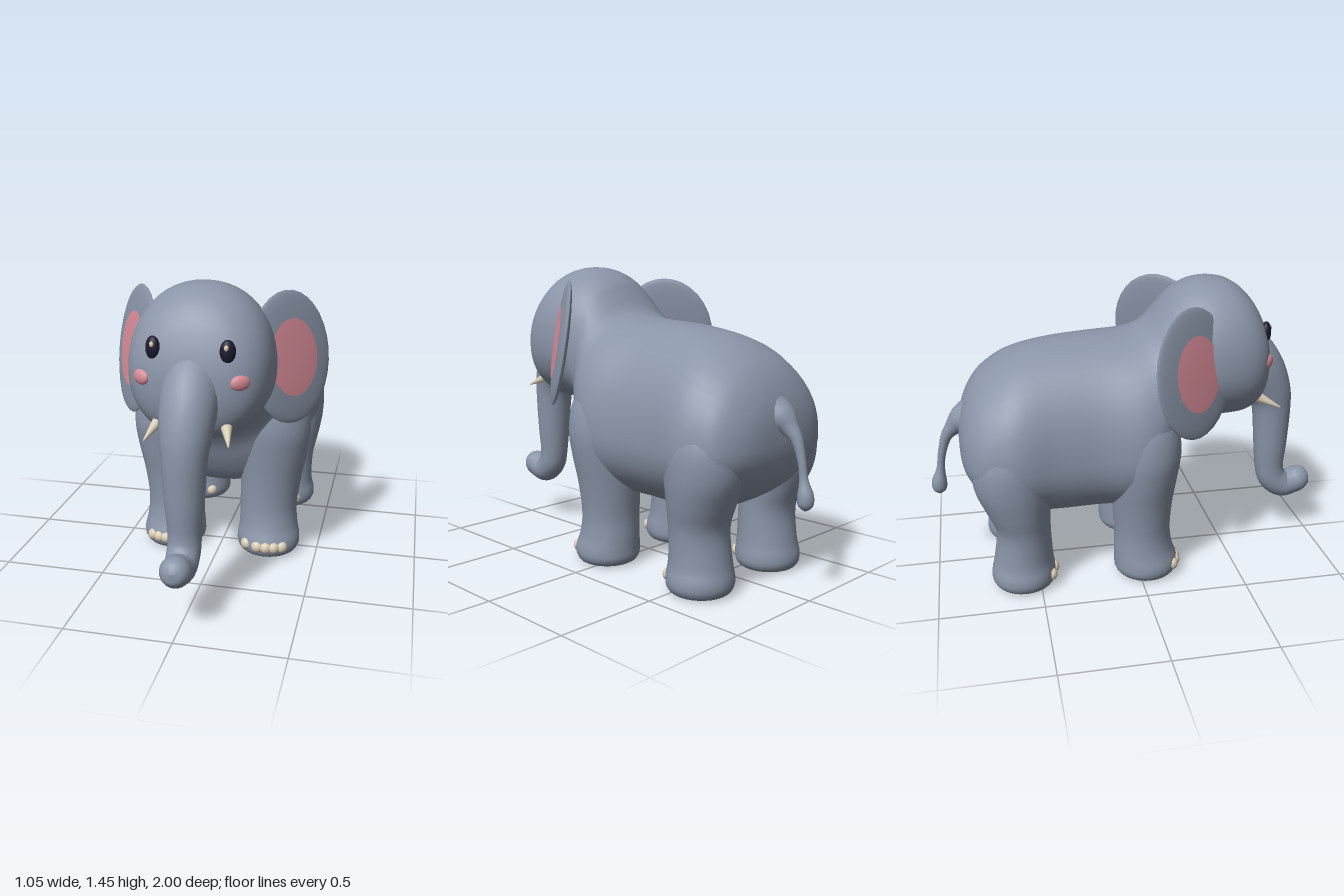
import * as THREE from 'three';

const mat = (name, color) => Object.assign(new THREE.MeshStandardMaterial({ color }), { name });
const V = (x, y, z) => new THREE.Vector3(x, y, z);

// Catmull-Rom subdivision of rows of numbers
function smooth(rows, steps) {
  const out = [];
  const at = (i) => rows[Math.min(Math.max(i, 0), rows.length - 1)];
  for (let i = 0; i < rows.length - 1; i++) {
    for (let s = 0; s < steps; s++) {
      const t = s / steps;
      out.push(rows[i].map((b, k) => {
        const a = at(i - 1)[k], c = at(i + 1)[k], d = at(i + 2)[k];
        return b + 0.5 * t * (c - a + t * (2 * a - 5 * b + 4 * c - d + t * (3 * (b - c) + d - a)));
      }));
    }
  }
  out.push(rows[rows.length - 1]);
  return out;
}

// Skin over closed rings; ringPoint(row, angle, index) gives one vertex
function loft(rows, sides, ringPoint) {
  const pos = [], idx = [];
  rows.forEach((row, i) => {
    for (let j = 0; j < sides; j++) {
      pos.push(...ringPoint(row, (j / sides) * Math.PI * 2, i).toArray());
      if (i === rows.length - 1) continue;
      const a = i * sides + j, b = i * sides + (j + 1) % sides;
      idx.push(a, b, a + sides, b, b + sides, a + sides);
    }
  });
  const g = new THREE.BufferGeometry();
  g.setAttribute('position', new THREE.Float32BufferAttribute(pos, 3));
  g.setIndex(idx);
  g.computeVertexNormals();
  return g;
}

// Tapering round limb in the x = 0 plane, rows [y, z, radius]
function limb(points, sides) {
  const rows = smooth(points, 5);
  return loft(rows, sides, ([y, z, r], t, i) => {
    const p = rows[Math.max(i - 1, 0)], q = rows[Math.min(i + 1, rows.length - 1)];
    const len = Math.hypot(q[0] - p[0], q[1] - p[1]) || 1;
    const ty = (q[0] - p[0]) / len, tz = (q[1] - p[1]) / len;
    const s = Math.sin(t) * r, rad = Math.max(r, 0.0005);
    return V(Math.cos(t) * rad, y + tz * s, z - ty * s);
  });
}

// Upright leg, rows [y, centre x, centre z, radius x, radius z]
const leg = (rows) => loft(smooth(rows, 4), 28, ([y, x, z, rx, rz], t) =>
  V(x + rx * Math.sin(t), Math.max(y, 0), z + rz * Math.cos(t)));

// Ellipsoid turned about y
const blob = (x, y, z, rx, ry, rz, yaw = 0) =>
  new THREE.SphereGeometry(1, 18, 12).scale(rx, ry, rz).rotateY(yaw).translate(x, y, z);

export function createModel() {
  const skin = mat('grey skin', 0x8a95a8);
  const pink = mat('pink', 0xd98d99);
  const ivory = mat('ivory', 0xd8cdb6);
  const dark = mat('dark eye', 0x1b1a30);

  const model = new THREE.Group();
  model.name = 'elephant';
  const add = (name, geometry, material) => {
    const m = new THREE.Mesh(geometry, material);
    m.name = name;
    model.add(m);
  };
  // Adds the left part and its mirror image
  const pair = (name, geometry, material) => {
    add('left ' + name, geometry, material);
    const g = geometry.clone().scale(-1, 1, 1);
    g.setIndex(Array.from(g.index.array).reverse());
    add('right ' + name, g, material);
  };

  // Rump, barrel, neck and head in one skin, rows [z, top, widest y, bottom, half width]
  const body = smooth([
    [-0.85, 0.71, 0.70, 0.69, 0.002],
    [-0.843, 0.80, 0.69, 0.62, 0.17],
    [-0.82, 0.89, 0.68, 0.55, 0.28],
    [-0.77, 0.985, 0.67, 0.48, 0.37],
    [-0.70, 1.06, 0.66, 0.42, 0.415],
    [-0.58, 1.13, 0.66, 0.36, 0.445],
    [-0.40, 1.175, 0.67, 0.33, 0.412],
    [-0.20, 1.195, 0.68, 0.33, 0.405],
    [-0.02, 1.205, 0.69, 0.34, 0.44],
    [0.08, 1.24, 0.73, 0.39, 0.42],
    [0.15, 1.32, 0.83, 0.50, 0.37],
    [0.20, 1.38, 0.95, 0.61, 0.328],
    [0.28, 1.43, 1.05, 0.715, 0.32],
    [0.38, 1.45, 1.07, 0.755, 0.33],
    [0.48, 1.435, 1.07, 0.76, 0.326],
    [0.56, 1.385, 1.06, 0.77, 0.305],
    [0.62, 1.31, 1.055, 0.80, 0.265],
    [0.66, 1.22, 1.05, 0.85, 0.205],
    [0.685, 1.13, 1.04, 0.93, 0.12],
    [0.695, 1.04, 1.03, 1.02, 0.002],
  ], 4);
  const soft = (v) => Math.sign(v) * Math.abs(v) ** 0.93;
  add('body and head', loft(body, 48, ([z, top, mid, bottom, w], t) => {
    const s = soft(Math.sin(t));
    return V(w * soft(Math.cos(t)), mid + s * (s > 0 ? top - mid : mid - bottom), z);
  }), skin);

  // Trunk
  add('trunk', limb([
    [1.17, 0.52, 0.0], [1.14, 0.55, 0.09], [1.06, 0.61, 0.125], [0.96, 0.68, 0.128],
    [0.85, 0.735, 0.115], [0.75, 0.76, 0.101], [0.55, 0.767, 0.088], [0.41, 0.77, 0.076],
    [0.335, 0.79, 0.075], [0.288, 0.845, 0.073], [0.297, 0.905, 0.07], [0.312, 0.945, 0.068],
    [0.323, 0.982, 0.045], [0.327, 0.998, 0.0],
  ], 24), skin);

  // Tail with a rounded tuft
  add('tail', limb([
    [0.80, -0.79, 0.10], [0.785, -0.835, 0.075], [0.76, -0.87, 0.045], [0.71, -0.91, 0.028],
    [0.62, -0.938, 0.02], [0.54, -0.95, 0.021], [0.47, -0.962, 0.037], [0.425, -0.963, 0.032],
    [0.40, -0.962, 0.0],
  ], 16), skin);

  // Legs
  pair('front leg', leg([
    [0, 0.25, 0.04, 0, 0], [0, 0.25, 0.04, 0.07, 0.07], [0.004, 0.25, 0.04, 0.13, 0.13],
    [0.035, 0.25, 0.04, 0.157, 0.157], [0.08, 0.25, 0.04, 0.16, 0.16],
    [0.15, 0.247, 0.028, 0.149, 0.148], [0.25, 0.245, 0.022, 0.146, 0.14],
    [0.40, 0.255, 0.02, 0.155, 0.15], [0.55, 0.268, 0.025, 0.172, 0.165],
    [0.68, 0.274, 0.03, 0.178, 0.175], [0.82, 0.25, 0.03, 0.175, 0.16],
    [0.94, 0.22, 0.02, 0.12, 0.11], [0.98, 0.2, 0.02, 0, 0],
  ]), skin);
  pair('back leg', leg([
    [0, 0.25, -0.578, 0, 0], [0, 0.25, -0.578, 0.07, 0.07], [0.004, 0.25, -0.578, 0.13, 0.13],
    [0.035, 0.25, -0.578, 0.157, 0.155], [0.08, 0.25, -0.578, 0.16, 0.157],
    [0.15, 0.247, -0.575, 0.149, 0.145], [0.30, 0.25, -0.57, 0.15, 0.133],
    [0.42, 0.26, -0.59, 0.165, 0.155], [0.55, 0.265, -0.61, 0.18, 0.185],
    [0.70, 0.255, -0.61, 0.185, 0.19], [0.85, 0.21, -0.59, 0.16, 0.15],
    [0.92, 0.2, -0.58, 0, 0],
  ]), skin);

  // Toenails set around the front rim of each foot
  const toes = (name, xs, cz) => xs.forEach((x, i) => {
    const z = cz + Math.sqrt(0.156 ** 2 - (x - 0.25) ** 2);
    pair(`${name} toenail ${i + 1}`, blob(x, 0.065, z - 0.006, 0.03, 0.03, 0.026, Math.asin((x - 0.25) / 0.156)), ivory);
  });
  toes('front', [0.155, 0.215, 0.26, 0.3, 0.338], 0.04);
  toes('back', [0.17, 0.25, 0.32], -0.578);

  // Ears: flat discs swept back, with a pink inner patch
  const u = V(0.58, 0, -0.81).normalize();
  const out = V(0.81, 0, 0.58).normalize();
  const up = V(0, 1, 0).multiplyScalar(0.989).addScaledVector(out, -0.15).normalize();
  const earFrame = new THREE.Matrix4().makeBasis(u, up, u.clone().cross(up)).setPosition(0.37, 1.085, 0.24);
  const earDisc = (theta, lift) => new THREE.SphereGeometry(1, 32, 16, 0, Math.PI * 2, 0, theta)
    .rotateX(Math.PI / 2).scale(0.26, 0.308, 0.028).translate(0, 0, lift).applyMatrix4(earFrame);
  pair('ear', earDisc(Math.PI, 0), skin);
  pair('inner ear', earDisc(0.62, 0.003), pink);

  // Face
  pair('eye', blob(0.163, 1.2, 0.644, 0.035, 0.054, 0.026, 0.35), dark);
  pair('eye glint', blob(0.162, 1.222, 0.667, 0.01, 0.013, 0.007, 0.35), ivory);
  pair('cheek', blob(0.218, 1.07, 0.643, 0.048, 0.036, 0.022, 0.65), pink);

  // Tusks
  const base = V(0.148, 0.872, 0.61), tip = V(0.187, 0.812, 0.738);
  const dir = tip.clone().sub(base);
  const tusk = new THREE.CylinderGeometry(0.003, 0.031, dir.length(), 14)
    .applyQuaternion(new THREE.Quaternion().setFromUnitVectors(V(0, 1, 0), dir.clone().normalize()))
    .translate(...base.clone().add(tip).multiplyScalar(0.5).toArray());
  pair('tusk', tusk, ivory);

  return model;
}
